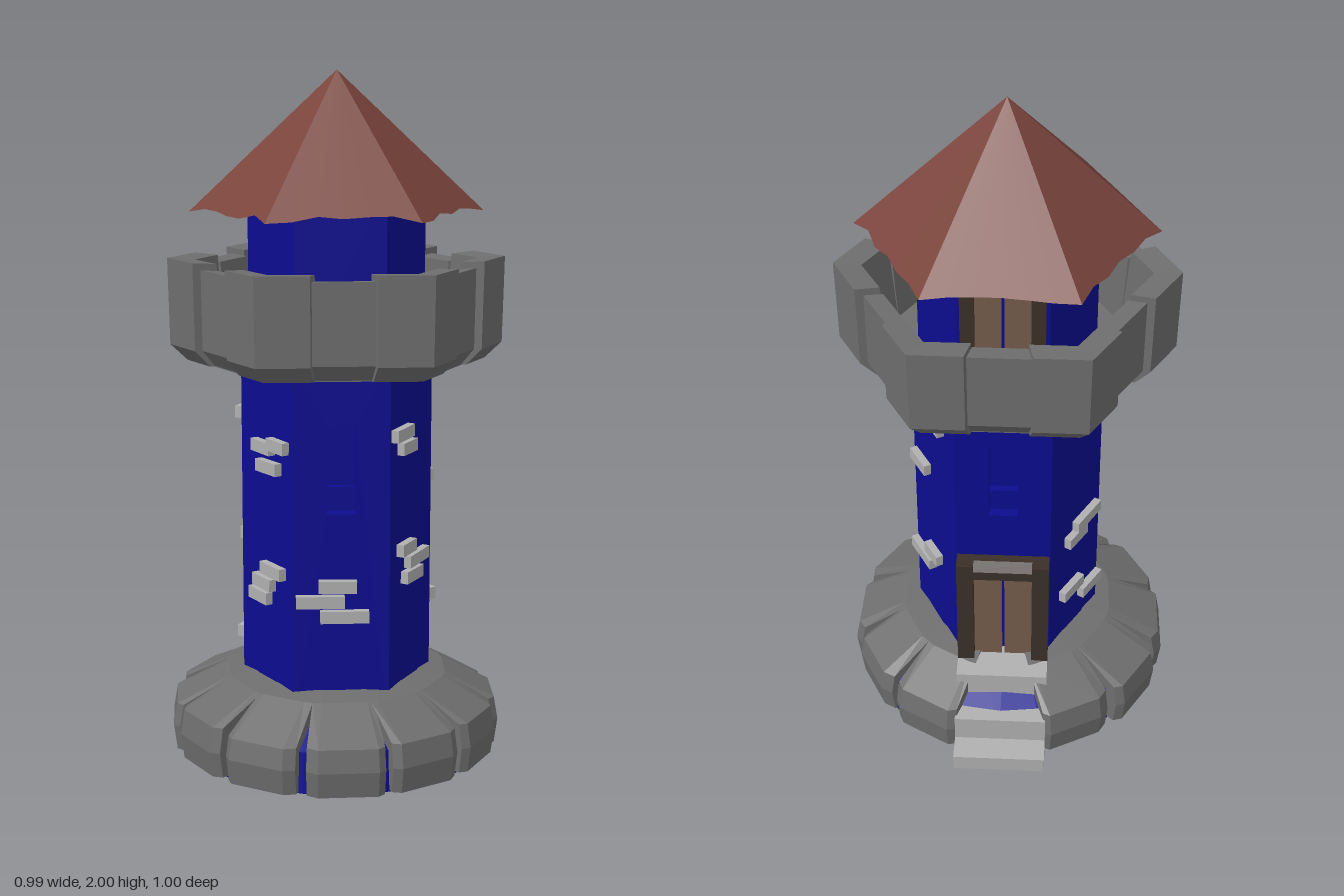
import * as THREE from 'three';

const mat = (color, side = THREE.FrontSide) =>
  new THREE.MeshStandardMaterial({ color, flatShading: true, side });
const BLUE = mat(0x0c0c90), STONE = mat(0x6e6e6e), LIGHT = mat(0xb0b0b0);
const ROOF = mat(0x7a443c, THREE.DoubleSide), FRAME = mat(0x3a2f28), PLANK = mat(0x735c4c);
const DEG = Math.PI / 180;

let seed = 7;
const rnd = () => (seed = (seed * 16807) % 2147483647) / 2147483647;

function add(parent, name, geometry, material, x = 0, y = 0, z = 0) {
  const m = new THREE.Mesh(geometry, material);
  m.name = name;
  m.position.set(x, y, z);
  parent.add(m);
  return m;
}
const box = (w, h, d) => new THREE.BoxGeometry(w, h, d);

// Hexagonal prism whose corners sit at 45 + 60k degrees
const hex = (r, h) => new THREE.CylinderGeometry(r, r, h, 6).rotateY(45 * DEG);

// Group whose local +z points out of the side at angle a (from +x towards +z)
function side(parent, name, a) {
  const g = new THREE.Group();
  g.name = name;
  g.rotation.y = (90 - a) * DEG;
  parent.add(g);
  return g;
}

// Solid through a row of equal convex cross-sections, capped at both ends
function loft(sections) {
  const n = sections[0].length, tris = [];
  for (let i = 0; i < sections.length - 1; i++)
    for (let j = 0; j < n; j++) {
      const k = (j + 1) % n, A = sections[i], B = sections[i + 1];
      tris.push([A[j], A[k], B[k]], [A[j], B[k], B[j]]);
    }
  const first = sections[0], last = sections.at(-1);
  for (let j = 1; j < n - 1; j++)
    tris.push([first[0], first[j + 1], first[j]], [last[0], last[j], last[j + 1]]);
  const volume = tris.reduce((s, [a, b, c]) => s + a.dot(b.clone().cross(c)), 0);
  const pos = tris.flatMap(([a, b, c]) => (volume < 0 ? [a, c, b] : [a, b, c]))
    .flatMap(v => v.toArray());
  const geo = new THREE.BufferGeometry();
  geo.setAttribute('position', new THREE.Float32BufferAttribute(pos, 3));
  geo.computeVertexNormals();
  return geo;
}

const polar = (r, y, a) => new THREE.Vector3(r * Math.cos(a * DEG), y, r * Math.sin(a * DEG));
// Point on hexagon side k at fraction t, for corner radius r
const onHex = (k, t, r, y) => polar(r, y, 45 + 60 * k).lerp(polar(r, y, 105 + 60 * k), t);

// Two-leaf plank door in a heavy frame, standing on local y = 0
function door(parent, w, h, front, back, jamb) {
  const g = new THREE.Group();
  g.name = 'door';
  parent.add(g);
  const d = front - back, z = (front + back) / 2;
  for (const s of [-1, 1]) {
    add(g, 'doorJamb', box(jamb, h, d), FRAME, s * (w - jamb) / 2, h / 2, z);
    const leafW = (w - 2 * jamb) / 2 - 0.004;
    add(g, 'doorLeaf', box(leafW, h - jamb, d * 0.7), PLANK,
      s * (leafW / 2 + 0.004), (h - jamb) / 2, back + d * 0.35);
  }
  // lintel with a bevelled front edge
  const lintel = [[back, h - jamb], [front, h - jamb], [front, h - 0.02], [front - 0.03, h], [back, h]];
  add(g, 'doorLintel', loft([-1, 1].map(s =>
    lintel.map(([lz, ly]) => new THREE.Vector3(s * w / 2, ly, lz)))), FRAME);
  return g;
}

export function createModel() {
  const root = new THREE.Group();
  root.name = 'tower';
  const tower = new THREE.Group();
  tower.name = 'towerParts';
  tower.position.set(-0.005, 0, 0.003);
  root.add(tower);

  // Base core and ring of rough foundation stones
  const core = [[0, 0], [0.455, 0], [0.445, 0.12], [0.3, 0.19], [0, 0.19]]
    .map(p => new THREE.Vector2(...p));
  add(tower, 'baseCore', new THREE.LatheGeometry(core, 24), BLUE);
  for (let i = 0; i < 12; i++) {
    const a = 15 + 30 * i;
    if (a === 315) continue; // the steps stand here
    const r = 0.485 + rnd() * 0.02, skew = (rnd() - 0.5) * 4, top = 0.14 + rnd() * 0.015;
    const cut = (da, k) => [[0.25, 0.005], [r * k - 0.01, 0.005], [r * k, 0.08],
      [r * k - 0.012, top], [0.33, 0.225], [0.25, 0.235]]
      .map(([pr, y]) => polar(pr, y, a + da * (pr > 0.4 ? 1 : 1.15)));
    add(tower, 'baseStone', loft([cut(-13.4 + skew * 0.3, 0.97), cut(-10 + skew, 1),
      cut(10 + skew, 1), cut(13.4 + skew * 0.3, 0.97)]), STONE);
  }

  // Six wall panels, two of them with a window slit
  const R = 0.28, ap = R * Math.cos(30 * DEG), y0 = 0.1, y1 = 1.2;
  add(tower, 'innerWall', hex(R - 0.055, y1 - y0), BLUE, 0, (y0 + y1) / 2, 0);
  // bricks per side: [offset, height, width]
  const bricks = {
    15: [[0.045, 1.075, 0.1], [0.01, 1.025, 0.13], [-0.075, 0.81, 0.1], [0, 0.5, 0.085], [-0.075, 0.445, 0.13]],
    75: [[-0.08, 0.985, 0.11], [-0.05, 0.94, 0.09], [-0.05, 0.64, 0.09], [0.02, 0.595, 0.13], [-0.01, 0.55, 0.11]],
    135: [[-0.01, 0.55, 0.11], [-0.06, 0.505, 0.14], [0.01, 0.46, 0.14]],
    195: [[0, 0.935, 0.1], [0.08, 0.95, 0.09], [0.03, 0.88, 0.11], [0, 0.53, 0.1], [0.05, 0.575, 0.11], [-0.02, 0.485, 0.1]],
    255: [[0.085, 1.01, 0.11], [0.05, 0.635, 0.13], [-0.01, 0.6, 0.1], [-0.03, 0.4, 0.11], [0.08, 0.335, 0.11]],
    315: [],
  };
  for (const [angle, list] of Object.entries(bricks)) {
    const g = side(tower, 'wallSide', +angle);
    const panel = new THREE.Shape([[-R / 2, y0], [R / 2, y0], [R / 2, y1], [-R / 2, y1]]
      .map(p => new THREE.Vector2(...p)));
    const slit = angle === '135' || angle === '315';
    if (slit) panel.holes.push(new THREE.Path([[-0.042, 0.76], [-0.042, 1.02], [0.042, 1.02], [0.042, 0.76]]
      .map(p => new THREE.Vector2(...p))));
    const wall = new THREE.ExtrudeGeometry(panel, { depth: 0.05, bevelEnabled: false });
    // taper the back so neighbouring panels meet in a mitre
    const p = wall.attributes.position;
    for (let i = 0; i < p.count; i++)
      if (p.getZ(i) < 0.01 && Math.abs(p.getX(i)) > 0.1) p.setX(i, p.getX(i) * 0.794);
    add(g, 'wallPanel', wall, BLUE, 0, 0, ap - 0.05);
    if (slit) add(g, 'slitSill', box(0.084, 0.07, 0.03), BLUE, 0, 0.8, ap - 0.04);
    for (const [x, y, w] of list)
      add(g, 'wallBrick', box(w, 0.036, 0.05), LIGHT, x, y, ap - 0.002)
        .rotation.z = (rnd() - 0.5) * 0.05;
  }

  // Entrance and steps
  const entry = side(tower, 'entrance', 315);
  door(entry, 0.275, 0.38, 0.3, 0.2, 0.05).position.y = 0.225;
  for (const [h, reach] of [[0.225, 0.37], [0.13, 0.465], [0.05, 0.545]])
    add(entry, 'step', box(0.275, h, reach - 0.15), LIGHT, 0, h / 2, (reach + 0.15) / 2);

  // Balcony floor and parapet of corner and middle stones
  add(tower, 'balconyFloor', hex(0.42, 0.05), STONE, 0, 1.192, 0);
  for (let k = 0; k < 6; k++) {
    const e = rnd() * 0.01;
    const corner = [[0.38, 1.165], [0.435, 1.168], [0.485, 1.215], [0.49, 1.47 - e], [0.41, 1.465 - e]];
    const mid = [[0.38, 1.167], [0.42, 1.17], [0.46, 1.215], [0.463, 1.45 - e], [0.4, 1.445 - e]];
    const cut = (profile, s, t) => profile.map(([r, y]) => onHex(s, t, r, y));
    add(tower, 'parapetCorner', loft([cut(corner, k + 5, 0.69), cut(corner, k, 0), cut(corner, k, 0.31 + e)]), STONE);
    add(tower, 'parapetMiddle', loft([cut(mid, k, 0.31), cut(mid, k, 0.69)]), STONE);
  }

  // Upper room with balcony door
  add(tower, 'upperRoom', hex(0.257, 0.47), BLUE, 0, 1.435, 0);
  door(side(tower, 'balconyDoor', 315), 0.235, 0.385, 0.245, 0.19, 0.04).position.y = 1.215;

  // Six-sided roof with a ragged eave; eave points slide along the slope
  const roof = new THREE.ConeGeometry(1, 1, 36, 1, true);
  const rp = roof.attributes.position, wear = [];
  for (let i = 0; i < 36; i++) wear.push(i % 6 ? 0.955 + rnd() * 0.045 : 1);
  for (let i = 0; i < rp.count; i++) {
    if (rp.getY(i) > 0) { rp.setXYZ(i, 0, 2, 0); continue; }
    const step = Math.round(Math.atan2(rp.getX(i), rp.getZ(i)) / (10 * DEG) + 36) % 36;
    const s = wear[step];
    const q = onHex(Math.floor(step / 6), (step % 6) / 6, 0.425 * s, 2 - 0.4 * s);
    // mirrored order keeps the outside facing out
    rp.setXYZ(i, q.z, q.y, q.x);
  }
  roof.computeVertexNormals();
  add(tower, 'roof', roof, ROOF).rotation.y = 0;

  return root;
}
